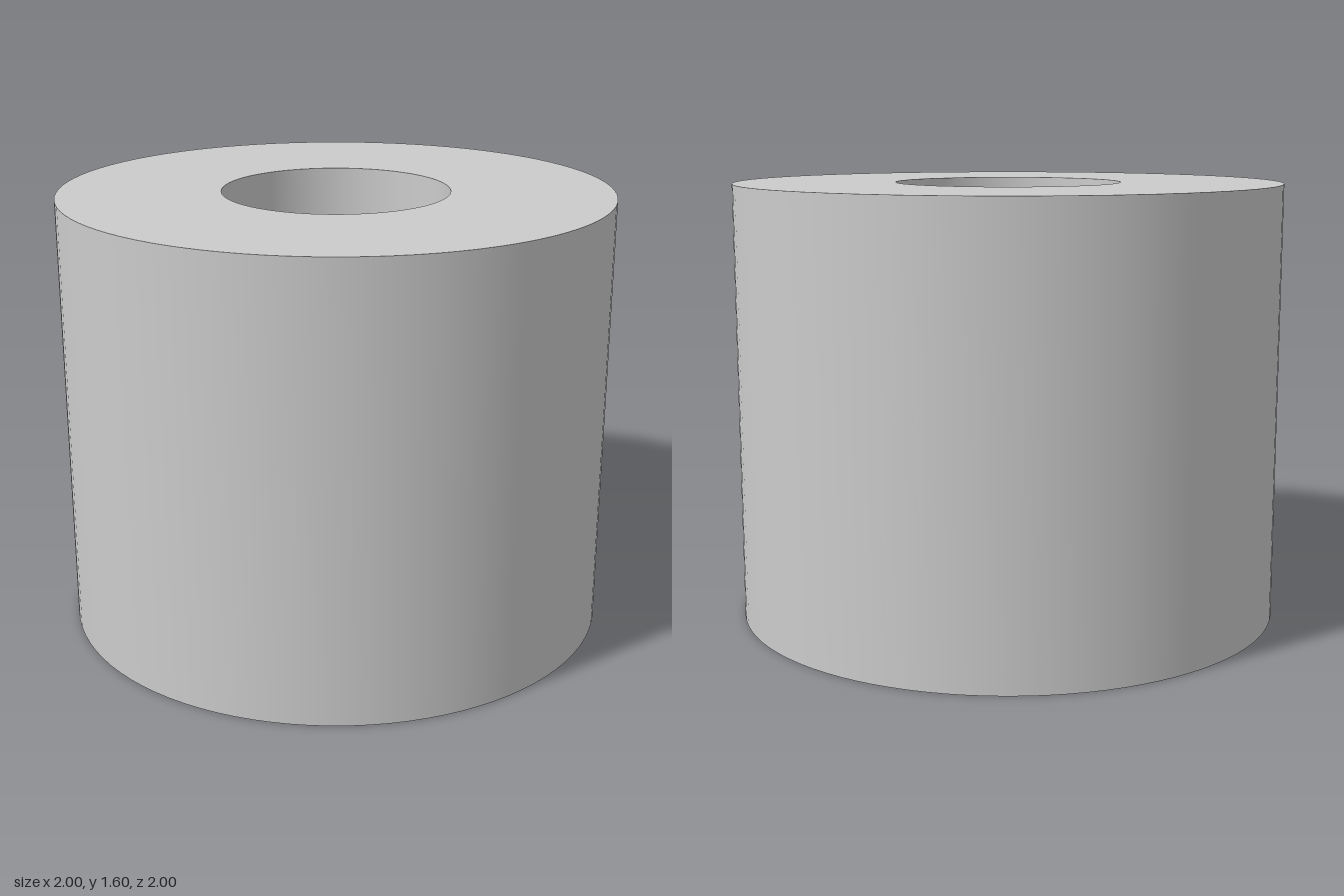
import * as THREE from 'three';
import { toCreasedNormals } from 'three/addons/utils/BufferGeometryUtils.js';

const HEIGHT = 1.6, OUTER = 1, BORE = 0.412, CREST = 0.369;
const PITCH = 0.1025, TURNS = 13, START = 0.043, STEPS = 96;

// Ring-shaped body with a plain bore through it
function bodyGeometry() {
  const profile = [[BORE, 0], [OUTER, 0], [OUTER, HEIGHT], [BORE, HEIGHT], [BORE, 0]];
  const lathe = new THREE.LatheGeometry(profile.map(([r, y]) => new THREE.Vector2(r, y)), STEPS);
  return toCreasedNormals(lathe, 0.5);
}

// Right-handed ridge: a trapezoid swept up a helix, starting and ending at +x
function threadGeometry() {
  const section = [[BORE + 0.001, 0], [CREST, 0.0275], [CREST, 0.04], [BORE + 0.001, 0.0675]];
  const n = section.length, count = TURNS * STEPS;
  const positions = [], index = [];
  for (let i = 0; i <= count; i++) {
    const angle = (i / STEPS) * Math.PI * 2;
    const rise = START + (i / STEPS) * PITCH;
    for (const [r, y] of section) {
      positions.push(r * Math.cos(angle), rise + y, -r * Math.sin(angle));
    }
    if (i === count) break;
    for (let j = 0; j < n - 1; j++) {
      const a = i * n + j, b = a + n;
      index.push(a, a + 1, b + 1, a, b + 1, b);
    }
  }
  // End caps
  const e = count * n;
  index.push(0, 2, 1, 0, 3, 2, e, e + 1, e + 2, e, e + 2, e + 3);
  const geometry = new THREE.BufferGeometry();
  geometry.setAttribute('position', new THREE.Float32BufferAttribute(positions, 3));
  geometry.setIndex(index);
  return toCreasedNormals(geometry, 0.4);
}

export function createModel() {
  const group = new THREE.Group();
  group.name = 'threadedBushing';
  const material = new THREE.MeshStandardMaterial({ color: 0xcccccc });
  const add = (name, geometry) => {
    const mesh = new THREE.Mesh(geometry, material);
    mesh.name = name;
    group.add(mesh);
  };
  add('body', bodyGeometry());
  add('internalThread', threadGeometry());
  return group;
}
